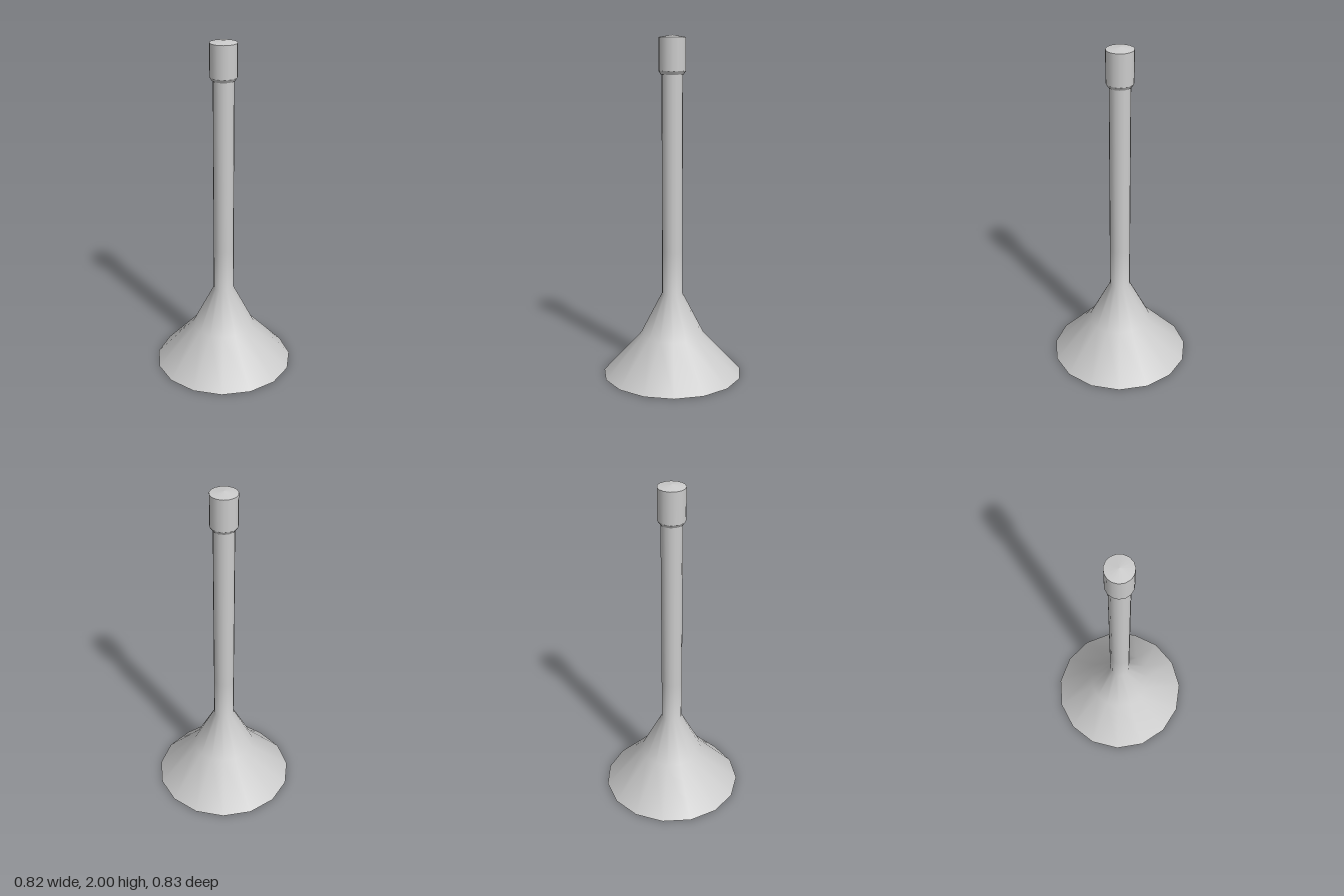
import * as THREE from 'three';

const SIDES = 15;

export function createModel() {
  const model = new THREE.Group();
  const material = new THREE.MeshStandardMaterial({ color: 0xcccccc, side: THREE.DoubleSide });

  // Turned section from [radius, height] pairs, with one corner towards +x
  function turned(name, profile) {
    const points = profile.map(([r, y]) => new THREE.Vector2(r, y));
    const mesh = new THREE.Mesh(new THREE.LatheGeometry(points, SIDES, Math.PI / 2), material);
    mesh.name = name;
    model.add(mesh);
  }

  // Hollow flared foot running smoothly into the shaft
  turned('flaredShaft', [[0.415, 0], [0.188, 0.245], [0.061, 0.495], [0.061, 0.75], [0.061, 1.79]]);

  // Cap: underside, bevel, straight wall and slightly domed top, with sharp edges between
  turned('capUnderside', [[0.061, 1.78], [0.066, 1.78]]);
  turned('capBevel', [[0.066, 1.78], [0.079, 1.8]]);
  turned('capWall', [[0.079, 1.8], [0.079, 1.988]]);
  turned('capTop', [[0.079, 1.988], [0, 2]]);

  // Centre the odd-sided outline on x = 0
  for (const part of model.children) part.position.x = -0.0045;
  return model;
}
